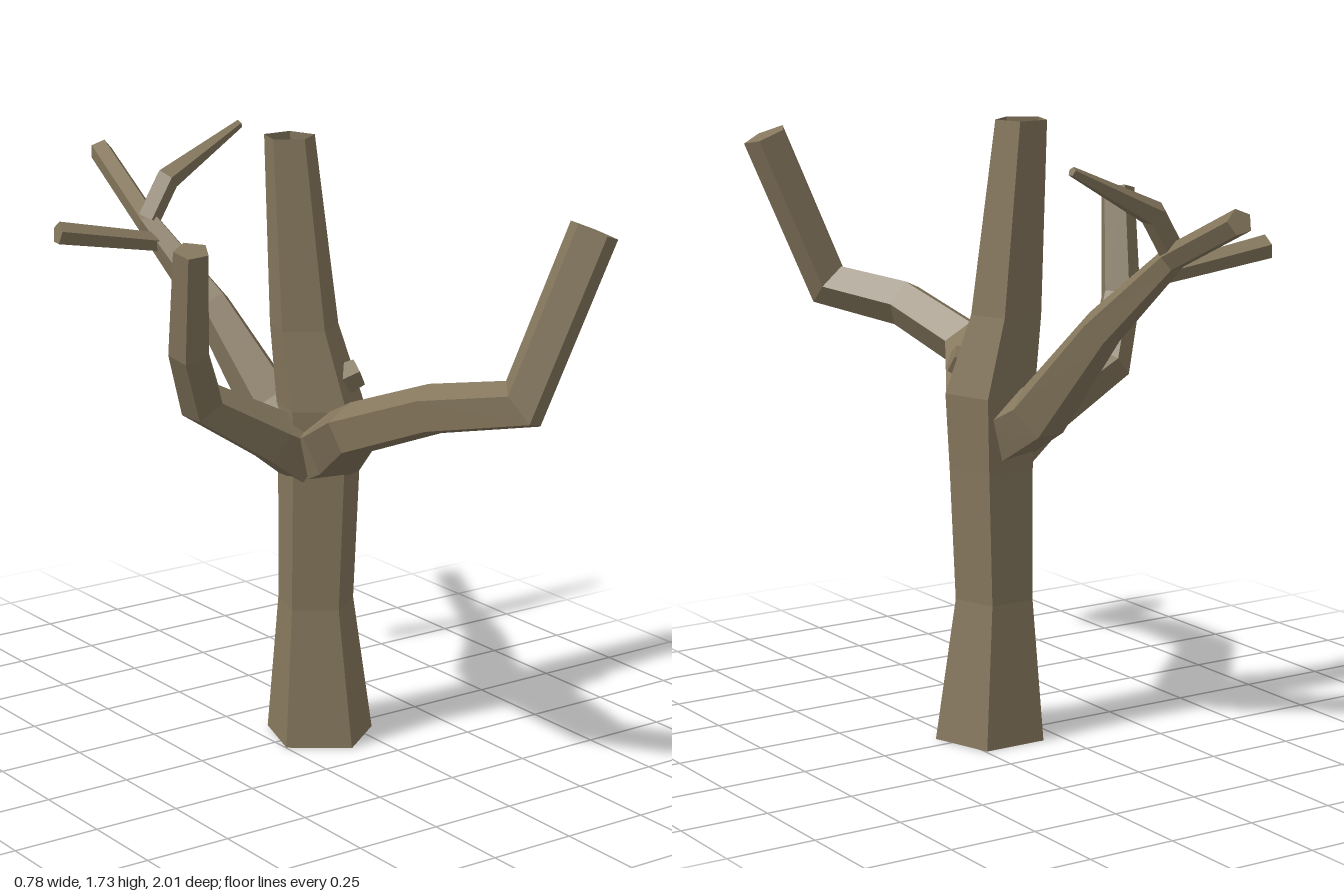
import * as THREE from 'three';

const bark = new THREE.MeshStandardMaterial({
  color: 0x85775d, flatShading: true, side: THREE.DoubleSide,
});
const SIDES = 5;

// Five-sided limb swept through [x, y, z, radius] stations with mitred bends.
// level: keep every ring horizontal; capped: close the far end.
function limb(name, stations, { ref = [0, 1, 0], level = false, capped = true } = {}) {
  const pts = stations.map(([x, y, z]) => new THREE.Vector3(x, y, z));
  const up = new THREE.Vector3(0, 1, 0);
  const n = pts.length;
  const dirs = pts.slice(1).map((p, i) => (level ? up.clone() : p.clone().sub(pts[i]).normalize()));
  const u = new THREE.Vector3(...ref);
  u.addScaledVector(dirs[0], -u.dot(dirs[0])).normalize();
  const pos = [];
  const idx = [];

  for (let i = 0; i < n; i++) {
    const d = dirs[Math.max(i - 1, 0)];
    const next = dirs[Math.min(i, n - 2)];
    const t = d.clone().add(next).normalize();
    const v = d.clone().cross(u);
    for (let k = 0; k < SIDES; k++) {
      const a = (k / SIDES) * Math.PI * 2;
      const o = u.clone().multiplyScalar(Math.cos(a)).addScaledVector(v, Math.sin(a))
        .multiplyScalar(stations[i][3]);
      o.addScaledVector(d, -o.dot(t) / d.dot(t)).add(pts[i]);
      pos.push(o.x, o.y, o.z);
      if (i < n - 1) {
        const a0 = i * SIDES + k;
        const b0 = i * SIDES + (k + 1) % SIDES;
        idx.push(a0, b0, b0 + SIDES, a0, b0 + SIDES, a0 + SIDES);
      }
    }
    u.applyQuaternion(new THREE.Quaternion().setFromUnitVectors(d, next));
  }
  if (capped) {
    const s = (n - 1) * SIDES;
    for (let k = 1; k < SIDES - 1; k++) idx.push(s, s + k, s + k + 1);
  }
  const geo = new THREE.BufferGeometry();
  geo.setAttribute('position', new THREE.Float32BufferAttribute(pos, 3));
  geo.setIndex(idx);
  const flat = geo.toNonIndexed();
  flat.computeVertexNormals();
  const mesh = new THREE.Mesh(flat, bark);
  mesh.name = name;
  return mesh;
}

export function createModel() {
  const tree = new THREE.Group();
  tree.name = 'bareTree';

  // Hollow trunk, open at the root and at the broken top
  tree.add(limb('trunk', [
    [0.152, 0, 0.005, 0.158],
    [0.14, 0.4, 0, 0.112],
    [0.145, 0.77, 0.005, 0.12],
    [0.148, 0.98, 0.005, 0.128],
    [0.118, 1.2, -0.03, 0.1],
    [0.09, 1.73, -0.062, 0.073],
  ], { ref: [0, 0, 1], level: true, capped: false }));

  // Front branch: sweeps forward, then turns sharply upward
  tree.add(limb('frontBranch', [
    [0.13, 0.86, 0.05, 0.1],
    [0.1, 0.9, 0.15, 0.095],
    [-0.045, 1.03, 0.43, 0.074],
    [0.025, 1.125, 0.67, 0.07],
    [0.155, 1.165, 0.88, 0.066],
    [0.33, 1.61, 0.937, 0.068],
  ]));

  // Side branch on the model's right
  tree.add(limb('sideBranch', [
    [0.09, 0.85, 0.005, 0.1],
    [-0.01, 0.905, 0.005, 0.08],
    [-0.225, 1.03, -0.02, 0.064],
    [-0.31, 1.2, 0.045, 0.058],
    [-0.35, 1.495, 0.12, 0.05],
  ]));

  // Back branch, thinning toward its tip
  tree.add(limb('backBranch', [
    [0.13, 0.87, -0.04, 0.095],
    [0.1, 0.94, -0.16, 0.085],
    [0.045, 1.2, -0.38, 0.058],
    [-0.025, 1.41, -0.6, 0.036],
    [0.055, 1.555, -0.99, 0.035],
  ]));

  // Two twigs on the back branch
  tree.add(limb('rightTwig', [
    [-0.02, 1.36, -0.55, 0.028],
    [-0.33, 1.415, -0.6, 0.034],
  ]));
  tree.add(limb('leftTwig', [
    [-0.03, 1.42, -0.6, 0.036],
    [0.04, 1.53, -0.605, 0.036],
    [0.31, 1.66, -0.63, 0.013],
  ]));

  // Stub of a lost branch
  tree.add(limb('knot', [
    [0.15, 1.03, 0.03, 0.055],
    [0.235, 1.07, 0.07, 0.04],
  ]));

  return tree;
}
